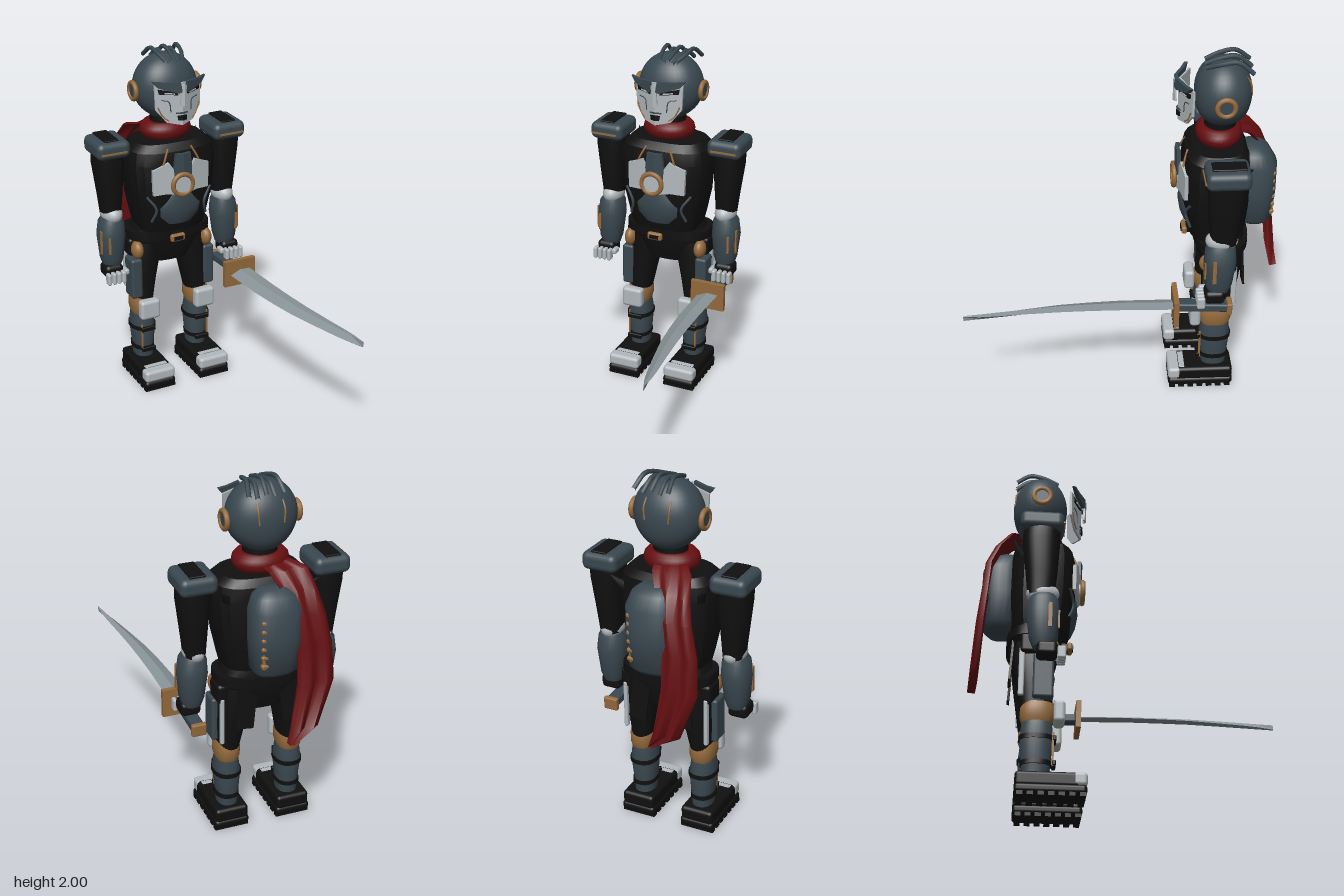
import * as THREE from 'three';
import { toCreasedNormals } from 'three/addons/utils/BufferGeometryUtils.js';
import { RoundedBoxGeometry } from 'three/addons/geometries/RoundedBoxGeometry.js';

const paint = (name, color) => Object.assign(new THREE.MeshStandardMaterial({ color }), { name });

export function createModel() {
  const slate = paint('slate armour', 0x3a4850), black = paint('black suit', 0x101010);
  const white = paint('pale plating', 0xb2b9bd), red = paint('red cloth', 0x660f11);
  const bronze = paint('bronze trim', 0x946a3c), steel = paint('blade steel', 0x8a9599);
  const root = new THREE.Group();

  const add = (name, geo, mat, x = 0, y = 0, z = 0) => {
    const m = new THREE.Mesh(geo, mat);
    m.name = name;
    m.position.set(x, y, z);
    root.add(m);
    return m;
  };
  const box = (name, mat, w, h, d, x, y, z, r = 0) =>
    add(name, r ? new RoundedBoxGeometry(w, h, d, 3, r) : new THREE.BoxGeometry(w, h, d), mat, x, y, z);
  const tube = (name, mat, pts, r = 0.006) => add(name, new THREE.TubeGeometry(
    new THREE.CatmullRomCurve3(pts.map(p => new THREE.Vector3(...p))), 16, r, 6), mat);

  // Skin over equal-length rings, clockwise as seen from the far end
  const skin = (rings, crease = 0.6) => {
    const n = rings[0].length, pos = rings.flat(2), idx = [], last = (rings.length - 1) * n;
    for (let r = 0; r < rings.length - 1; r++) for (let i = 0; i < n; i++) {
      const a = r * n + i, b = r * n + (i + 1) % n;
      idx.push(a, a + n, b, b, a + n, b + n);
    }
    const centre = ring => [0, 1, 2].map(k => ring.reduce((s, p) => s + p[k], 0) / n);
    pos.push(...centre(rings[0]), ...centre(rings[rings.length - 1]));
    for (let i = 0; i < n; i++) {
      const j = (i + 1) % n;
      idx.push(last + n, i, j, last + n + 1, last + j, last + i);
    }
    const g = new THREE.BufferGeometry();
    g.setAttribute('position', new THREE.Float32BufferAttribute(pos, 3));
    g.setIndex(idx);
    return toCreasedNormals(g, crease);
  };
  // Rows are [y, x radius, z radius, x centre, z centre]; power squares the section
  const loft = (name, mat, rows, power = 2, n = 28, crease = 0.6) => {
    const f = v => Math.sign(v) * Math.abs(v) ** (2 / power);
    return add(name, skin(rows.map(([y, rx, rz, cx, cz]) => Array.from({ length: n }, (_, i) => {
      const a = (i + 0.5) / n * Math.PI * 2;
      return [cx + rx * f(Math.cos(a)), y, cz + rz * f(Math.sin(a))];
    })), crease), mat);
  };
  // Flat outline laid on a surface z = rule(x, y)
  const plate = (name, mat, pts, rule, depth = 0.008) => {
    const g = new THREE.ExtrudeGeometry(new THREE.Shape(pts.map(p => new THREE.Vector2(...p))),
      { depth, bevelEnabled: false });
    const p = g.attributes.position;
    for (let i = 0; i < p.count; i++) p.setZ(i, p.getZ(i) + rule(p.getX(i), p.getY(i)));
    g.computeVertexNormals();
    return add(name, g, mat);
  };
  const flip = (s, pts) => pts.map(([x, ...rest]) => [s * x, ...rest]);

  // Head: egg cut flat at the neck
  const headRows = [];
  for (let i = 0; i <= 18; i++) {
    const t = -1.2 + i / 18 * 2.75, c = Math.cos(t);
    headRows.push([1.785 + 0.187 * Math.sin(t), 0.185 * c, 0.152 * c + (t < 0 ? 0.03 * t * t * c : 0), 0, -0.528]);
  }
  loft('head', slate, headRows, 2.1, 36);
  loft('neck', black, [[1.44, 0.09, 0.09, 0, -0.52], [1.62, 0.09, 0.085, 0, -0.52]]);
  for (let i = 0; i < 5; i++) {
    const x = -0.05 + i * 0.036, o = (i % 2) * 0.015;
    tube('hairStrand', slate, [[x * 0.7, 1.945 - o, -0.43], [x, 1.975 - o, -0.51], [x * 1.1, 1.986 - o, -0.59], [x * 1.3, 1.93 - o, -0.67]], 0.012);
  }

  // Floating face mask, two planes meeting at the nose
  const face = off => x => -0.305 + off - 0.46 * Math.abs(x);
  const chest = off => x => -0.31 + off - 0.2 * Math.abs(x);
  for (const s of [-1, 1]) {
    plate('faceMask', white, flip(s, [[0, 1.86], [0.06, 1.85], [0.14, 1.845], [0.135, 1.70], [0.08, 1.63], [0, 1.615]]), face(0), 0.012);
    plate('brow', slate, flip(s, [[0.012, 1.815], [0.03, 1.805], [0.13, 1.835], [0.16, 1.87], [0.1, 1.865], [0.02, 1.87]]), face(0.022), 0.02);
    plate('eyeSocket', black, flip(s, [[0.025, 1.79], [0.12, 1.795], [0.125, 1.822], [0.03, 1.805]]), face(0.014));
    plate('eye', white, flip(s, [[0.045, 1.795], [0.095, 1.798], [0.095, 1.805], [0.045, 1.802]]), face(0.018));
    plate('nose', white, flip(s, [[0, 1.86], [0.014, 1.85], [0.022, 1.735], [0, 1.73]]), face(0.03), 0.01);
    plate('mouth', black, flip(s, [[0, 1.675], [0.028, 1.67], [0.024, 1.645], [0, 1.645]]), face(0.013));
    plate('lip', slate, flip(s, [[0, 1.692], [0.035, 1.688], [0.035, 1.683], [0, 1.684]]), face(0.013));
    tube('maskTrim', bronze, flip(s, [[0.125, 1.72, -0.35], [0.1, 1.665, -0.338], [0.07, 1.64, -0.324]]), 0.004);
    tube('cheekLine', slate, flip(s, [[0.11, 1.76, -0.342], [0.07, 1.75, -0.324], [0.06, 1.69, -0.319]]), 0.003);
    // Ear rings
    add('earRing', new THREE.TorusGeometry(0.046, 0.014, 10, 28), bronze, s * 0.194, 1.775, -0.525).rotation.y = Math.PI / 2;
    add('earDisc', new THREE.CylinderGeometry(0.042, 0.042, 0.05, 24), slate, s * 0.175, 1.775, -0.525).rotation.z = Math.PI / 2;
    tube('headSeam', bronze, flip(s, [[0.06, 1.92, -0.612], [0.07, 1.85, -0.664], [0.065, 1.78, -0.672]]), 0.005);
  }

  // Scarf and trailing tail
  const scarf = add('scarf', new THREE.TorusGeometry(0.1, 0.046, 12, 32), red, -0.005, 1.54, -0.515);
  scarf.rotation.x = Math.PI / 2;
  scarf.scale.set(1.03, 0.86, 1.1);
  const tailRows = [[0.63, -0.06, -0.03, -0.865], [0.7, -0.2, -0.05, -0.855], [0.95, -0.29, -0.09, -0.835], [1.15, -0.28, -0.09, -0.815],
    [1.32, -0.245, -0.05, -0.8], [1.44, -0.215, -0.03, -0.75], [1.53, -0.19, 0.02, -0.68], [1.55, -0.13, 0.04, -0.6]];
  add('scarfTail', skin(tailRows.map(([y, l, r, z]) => {
    const side = d => Array.from({ length: 9 }, (_, i) => [l + (r - l) * i / 8, y, z + d + 0.015 * Math.sin(i * 1.6 + y * 2)]);
    return [...side(-0.006), ...side(0.006).reverse()];
  }), 1), red);

  // Torso, abdomen and hips
  loft('torso', black, [[0.96, 0.2, 0.15, 0, -0.51], [1.02, 0.215, 0.165, 0, -0.51], [1.16, 0.245, 0.182, 0, -0.505],
    [1.38, 0.265, 0.182, 0, -0.502], [1.45, 0.25, 0.17, 0, -0.505], [1.49, 0.21, 0.14, 0, -0.51]], 3, 20, 0.4);
  loft('abdomen', slate, [[1.01, 0.13, 0.1, 0, -0.435], [1.06, 0.17, 0.12, 0, -0.435], [1.12, 0.185, 0.13, 0, -0.435],
    [1.18, 0.15, 0.127, 0, -0.435], [1.24, 0.08, 0.12, 0, -0.435]]);
  for (const s of [-1, 1]) {
    plate('chestWing', white, flip(s, [[0, 1.34], [0.055, 1.36], [0.08, 1.4], [0.175, 1.36], [0.17, 1.21], [0.09, 1.215], [0, 1.2]]), chest(0), 0.02);
    plate('chestPanel', slate, flip(s, [[0, 1.45], [0.045, 1.45], [0.055, 1.36], [0.05, 1.3], [0, 1.3]]), chest(0.008), 0.02);
    tube('chestTrim', bronze, flip(s, [[0.07, 1.47, -0.345], [0.1, 1.41, -0.325], [0.115, 1.37, -0.32]]));
    tube('ribTrim', slate, flip(s, [[0.2, 1.2, -0.36], [0.15, 1.12, -0.335], [0.17, 1.04, -0.36]]), 0.008);
    add('collarSpike', new THREE.ConeGeometry(0.03, 0.1, 4), black, s * 0.24, 1.42, -0.65).rotation.set(-0.6, 0, -s * 0.6);
  }
  add('chestRing', new THREE.TorusGeometry(0.06, 0.014, 10, 32), bronze, -0.01, 1.27, -0.28);
  const core = add('chestCore', new THREE.CylinderGeometry(0.052, 0.052, 0.03, 28), white, -0.01, 1.27, -0.29);
  core.rotation.x = Math.PI / 2;

  loft('hips', black, [[0.74, 0.13, 0.1, 0, -0.54], [0.82, 0.18, 0.125, 0, -0.54], [0.9, 0.235, 0.135, 0, -0.54], [0.98, 0.205, 0.135, 0, -0.53]], 2.8);
  loft('belt', black, [[0.895, 0.255, 0.15, 0, -0.54], [0.945, 0.255, 0.15, 0, -0.54]], 2.8);
  box('buckle', bronze, 0.09, 0.045, 0.03, -0.015, 0.92, -0.345, 0.012);
  box('buckleInset', black, 0.055, 0.022, 0.008, -0.015, 0.92, -0.33);
  box('buckleMount', black, 0.05, 0.04, 0.06, -0.015, 0.92, -0.375);

  // Backpack with ribbed bar
  loft('backpack', slate, [[1.0, 0.1, 0.07, 0, -0.725], [1.03, 0.125, 0.1, 0, -0.725], [1.2, 0.135, 0.112, 0, -0.725],
    [1.36, 0.135, 0.11, 0, -0.725], [1.43, 0.11, 0.085, 0, -0.71], [1.46, 0.07, 0.05, 0, -0.7]], 2.6, 28, 0.9);
  box('packBar', bronze, 0.025, 0.29, 0.03, 0.085, 1.2, -0.8, 0.01);
  for (let i = 0; i < 6; i++) box('packRib', bronze, 0.04, 0.025, 0.035, 0.085, 1.08 + i * 0.048, -0.805, 0.01);

  for (const s of [-1, 1]) {
    // Arm
    box('shoulderPad', slate, 0.2, 0.1, 0.235, s * 0.36, 1.48, -0.525, 0.035);
    box('shoulderInset', black, 0.085, 0.012, 0.18, s * 0.365, 1.532, -0.53, 0.005);
    box('shoulderTrim', bronze, 0.15, 0.01, 0.01, s * 0.365, 1.47, -0.406);
    loft('upperArm', black, [[1.06, 0.055, 0.07, s * 0.355, -0.52], [1.2, 0.068, 0.085, s * 0.358, -0.52],
      [1.38, 0.087, 0.1, s * 0.362, -0.525], [1.45, 0.087, 0.1, s * 0.362, -0.525]], 2.4);
    add('elbow', new THREE.SphereGeometry(1, 24, 16), white, s * 0.355, 1.075, -0.51).scale.set(0.06, 0.06, 0.088);
    loft('forearm', slate, [[0.76, 0.05, 0.055, s * 0.365, -0.5], [0.81, 0.065, 0.075, s * 0.365, -0.5], [0.95, 0.08, 0.088, s * 0.363, -0.505],
      [1.03, 0.072, 0.08, s * 0.36, -0.505], [1.07, 0.05, 0.06, s * 0.357, -0.505]], 2.3);
    box('forearmTrim', bronze, 0.008, 0.14, 0.02, s * 0.437, 0.92, -0.47);
    box('forearmTrim', bronze, 0.012, 0.1, 0.01, s * 0.405, 0.91, -0.423);
    box('hand', black, 0.11, 0.08, 0.11, s * 0.375, 0.74, -0.48, 0.025);
    for (let i = 0; i < 4; i++)
      box('finger', white, 0.024, 0.07, 0.045, s * (0.335 + i * 0.03), 0.715, -0.405, 0.01);
    box('thumb', white, 0.03, 0.035, 0.06, s * 0.31, 0.735, -0.43, 0.012);

    // Leg
    loft('thigh', black, [[0.49, 0.06, 0.085, s * 0.175, -0.52], [0.62, 0.075, 0.095, s * 0.165, -0.53],
      [0.78, 0.09, 0.11, s * 0.145, -0.54], [0.87, 0.09, 0.11, s * 0.13, -0.54]], 2.3);
    box('thighPlate', slate, 0.07, 0.25, 0.11, s * 0.232, 0.655, -0.49, 0.015);
    box('thighSheath', white, 0.022, 0.27, 0.03, s * 0.235, 0.68, -0.605, 0.008);
    add('pouch', new THREE.SphereGeometry(1, 18, 12), bronze, s * 0.22, 0.835, -0.46).scale.set(0.035, 0.055, 0.05);
    box('hipPocket', black, 0.06, 0.11, 0.13, s * 0.23, 0.84, -0.55, 0.02);
    const flap = box('coatFlap', black, 0.1, 0.25, 0.012, s * 0.12, 0.775, -0.66);
    flap.rotation.set(0.06, 0, s * 0.12);
    loft('kneeJoint', bronze, [[0.41, 0.06, 0.08, s * 0.178, -0.515], [0.44, 0.068, 0.09, s * 0.178, -0.515],
      [0.49, 0.068, 0.09, s * 0.178, -0.515], [0.52, 0.06, 0.08, s * 0.178, -0.515]], 2.4);
    box('kneePad', white, 0.125, 0.12, 0.06, s * 0.178, 0.47, -0.4, 0.02);
    loft('shin', slate, [[0.12, 0.055, 0.07, s * 0.175, -0.515], [0.2, 0.06, 0.077, s * 0.175, -0.515],
      [0.33, 0.072, 0.088, s * 0.177, -0.515], [0.42, 0.06, 0.078, s * 0.178, -0.515]], 2.3);
    for (const [y, w] of [[0.325, 0.076], [0.19, 0.065]]) {
      loft('shinBand', black, [[y - 0.012, w, w + 0.016, s * 0.177, -0.515], [y + 0.012, w, w + 0.016, s * 0.177, -0.515]], 2.3);
      box('shinClip', black, 0.09, 0.028, 0.02, s * 0.177, y, -0.422, 0.006);
    }
    box('shinTrim', bronze, 0.008, 0.18, 0.012, s * 0.215, 0.265, -0.43);

    // Boot
    box('sole', black, 0.195, 0.05, 0.37, s * 0.178, 0.037, -0.437, 0.02);
    for (let i = 0; i < 7; i++) box('tread', black, 0.19, 0.02, 0.032, s * 0.178, 0.01, -0.275 - i * 0.053);
    box('boot', black, 0.185, 0.08, 0.33, s * 0.178, 0.088, -0.455, 0.02);
    box('toeCap', white, 0.19, 0.072, 0.075, s * 0.178, 0.093, -0.288, 0.02);
    box('toeStrap', white, 0.15, 0.03, 0.04, s * 0.178, 0.115, -0.33, 0.01);
  }

  // Sword: curved diamond-section blade, square guard, grip and pommel
  const bladeY = z => 0.655 + 0.04 * (z + 0.27) / 1.14;
  const blade = [[-0.28, 0.287, 0.35, 0.413], [0.02, 0.297, 0.355, 0.416], [0.2, 0.314, 0.369, 0.423], [0.36, 0.335, 0.384, 0.433],
    [0.54, 0.372, 0.412, 0.45], [0.7, 0.408, 0.44, 0.468], [0.78, 0.43, 0.454, 0.474], [0.872, 0.466, 0.469, 0.472]];
  add('blade', skin(blade.map(([z, l, m, r]) => {
    const y = bladeY(z), t = 0.016;
    return [[l, y - 0.012, z], [m, y + t, z], [r, y + 0.012, z], [m, y - t, z]];
  }), 0.2), steel);
  box('guard', bronze, 0.2, 0.16, 0.028, 0.35, 0.652, -0.272);
  const grip = box('grip', slate, 0.07, 0.05, 0.3, 0.35, 0.645, -0.43, 0.012);
  const pommel = box('pommel', bronze, 0.08, 0.07, 0.03, 0.35, 0.635, -0.568, 0.008);
  grip.rotation.x = pommel.rotation.x = -0.05;
  return root;
}
